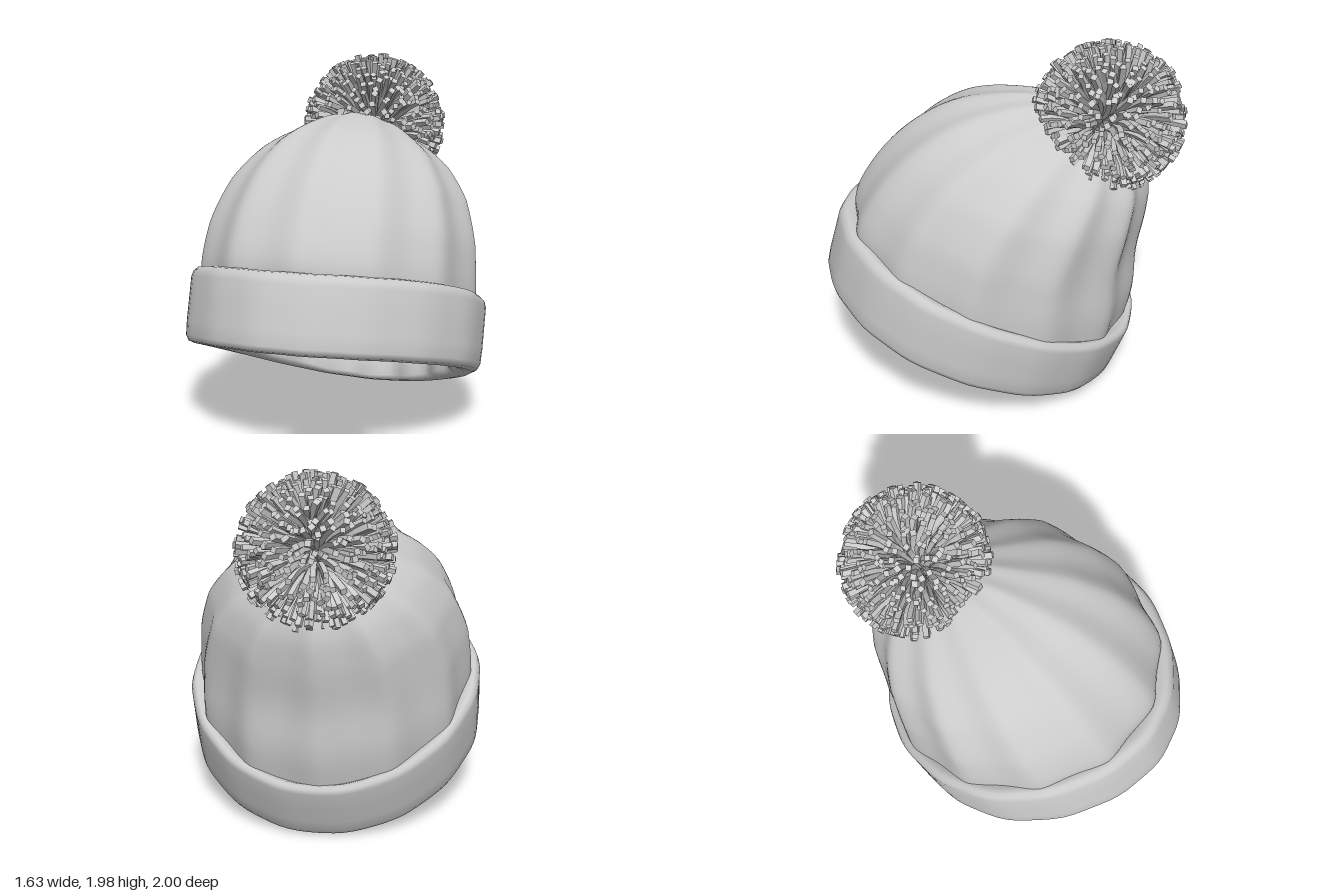
import * as THREE from 'three';
import { mergeGeometries } from 'three/addons/utils/BufferGeometryUtils.js';

const material = new THREE.MeshStandardMaterial({ color: 0xcccccc });
const strandMaterial = new THREE.MeshStandardMaterial({ color: 0xcccccc, flatShading: true });

// Smooth surface through closed rings: point(row, angle) gives each vertex
function loft(rows, cols, point) {
  const positions = [], index = [];
  for (let i = 0; i < rows; i++) {
    for (let j = 0; j < cols; j++) positions.push(...point(i, (j / cols) * Math.PI * 2));
  }
  for (let i = 0; i < rows - 1; i++) {
    for (let j = 0; j < cols; j++) {
      const k = (j + 1) % cols;
      const a = i * cols + j, b = i * cols + k, c = a + cols, d = b + cols;
      index.push(a, b, c, b, d, c);
    }
  }
  const geometry = new THREE.BufferGeometry();
  geometry.setAttribute('position', new THREE.Float32BufferAttribute(positions, 3));
  geometry.setIndex(index);
  geometry.computeVertexNormals();
  return geometry;
}

function addMesh(group, name, geometry, mat = material) {
  const mesh = new THREE.Mesh(geometry, mat);
  mesh.name = name;
  group.add(mesh);
}

// Point on the tilted cuff: inset from the outer wall, v from bottom to top
function cuffPoint(a, inset, v) {
  const c = Math.cos(a), s = Math.sin(a), mix = THREE.MathUtils.lerp;
  const front = Math.max(c, 0);
  const rx = 0.82 * (1 - 0.11 * front * front) - inset;
  const rz = mix(0.83, 0.84, v) - inset;
  return [
    rx * s,
    mix(0.28 + 0.275 * c + 0.06 * s * s, 0.645 + 0.305 * c + 0.085 * s * s, v),
    mix(0.18, 0.06, v) + rz * c,
  ];
}

// Height of the lining on the inner wall, lower at the front
const liningHeight = (a) => 0.58 - 0.17 * Math.cos(a);

// Folded cuff: inner wall down, rounded lip, outer wall up, top fold
function makeCuff() {
  const section = [
    [0.15, 1], [0.165, 0.6], [0.16, 0.14], [0.13, 0.05], [0.09, 0.005], [0.05, 0],
    [0.02, 0.035], [0.004, 0.11], [0, 0.3], [0, 0.6], [0, 0.88], [0.01, 0.96],
    [0.03, 1], [0.06, 1], [0.1, 0.95],
  ];
  return loft(section.length, 96, (i, a) => {
    const [inset, v] = section[i];
    // gathered inside, slightly lumpy along the lip
    const wave = (i < 3 ? 0.016 : 0.003) * Math.cos(16 * a);
    return cuffPoint(a, inset + wave, i < 2 ? v * liningHeight(a) : v);
  });
}

// Flat lining closing the opening inside the cuff
function makeLining() {
  const rows = 7;
  return loft(rows, 96, (i, a) => {
    const s = i / (rows - 1);
    const [x, y, z] = cuffPoint(a, 0.14, liningHeight(a));
    return [x * s, THREE.MathUtils.lerp(0.51, y, s), THREE.MathUtils.lerp(0.11, z, s)];
  });
}

// Pleated crown leaning back toward the pompom
function makeCrown() {
  // front z, front y, back z, back y, half width
  const rings = [
    [0.80, 0.82, -0.70, 0.24, 0.76],
    [0.83, 0.97, -0.76, 0.50, 0.77],
    [0.72, 1.20, -0.77, 0.76, 0.75],
    [0.53, 1.42, -0.81, 1.00, 0.67],
    [0.29, 1.58, -0.82, 1.17, 0.53],
    [0.02, 1.655, -0.78, 1.32, 0.34],
    [-0.25, 1.66, -0.70, 1.42, 0.17],
    [-0.48, 1.53, -0.55, 1.49, 0.03],
  ];
  const curve = (f) => new THREE.CatmullRomCurve3(rings.map((r) => new THREE.Vector3(...f(r))));
  const front = curve((r) => [0, r[1], r[0]]);
  const back = curve((r) => [0, r[3], r[2]]);
  const width = curve((r) => [r[4], 0, 0]);
  const rows = 36;
  return loft(rows, 144, (i, a) => {
    const t = i / (rows - 1), c = Math.cos(a), s = Math.sin(a);
    const f = front.getPoint(t), b = back.getPoint(t), w = width.getPoint(t).x;
    // soft ridges with flat panels between, deeper toward the top
    const valley = Math.pow(0.5 - 0.5 * Math.cos(12 * (a - 0.04)), 0.75);
    const k = 1 - (0.032 + 0.004 * (1 - c) + 0.035 * t) * valley;
    return [
      w * s * k,
      (f.y + b.y) / 2 + (f.y - b.y) / 2 * c * k,
      (f.z + b.z) / 2 + (f.z - b.z) / 2 * c * k,
    ];
  });
}

// Pompom: square strands fanning from a low root and curling off its axis
function makePompom() {
  let seed = 7;
  const random = () => (seed = (seed * 16807) % 2147483647) / 2147483647;
  const axis = new THREE.Vector3(0, 0.75, -0.66).normalize();
  const strands = [], count = 760, forward = new THREE.Vector3(0, 0, 1);
  for (let n = 0; n < count; n++) {
    const h = 1 - 2 * (n + 0.5) / count, r = Math.sqrt(1 - h * h), a = n * 2.39996;
    const dir = new THREE.Vector3(
      r * Math.cos(a) + (random() - 0.5) * 0.14, h + (random() - 0.5) * 0.14,
      r * Math.sin(a) + (random() - 0.5) * 0.14).normalize();
    const along = dir.dot(axis);
    if (along < -0.66) continue; // open where the pompom meets the crown
    const curl = dir.clone().multiplyScalar(along).sub(axis).normalize();
    const length = 0.375 + 0.045 * random(), bend = 0.12 + 0.1 * random();
    const size = 0.025 + 0.007 * random();
    const strand = new THREE.BoxGeometry(size, size, length - 0.05, 1, 1, 5);
    strand.translate(0, 0, (length + 0.05) / 2);
    strand.rotateZ(random() * Math.PI);
    strand.applyQuaternion(new THREE.Quaternion().setFromUnitVectors(forward, dir));
    const p = strand.attributes.position, v = new THREE.Vector3();
    for (let i = 0; i < p.count; i++) {
      v.fromBufferAttribute(p, i);
      const u = v.dot(dir) / length;
      v.addScaledVector(curl, bend * (u * u - u)).addScaledVector(axis, -0.15 * (1 - u));
      p.setXYZ(i, v.x, v.y, v.z);
    }
    strands.push(strand);
  }
  return mergeGeometries(strands).translate(0, 1.57, -0.59);
}

export function createModel() {
  const hat = new THREE.Group();
  hat.name = 'bobbleHat';
  addMesh(hat, 'cuff', makeCuff());
  addMesh(hat, 'lining', makeLining());
  addMesh(hat, 'crown', makeCrown());
  addMesh(hat, 'pompom', makePompom(), strandMaterial);
  return hat;
}
